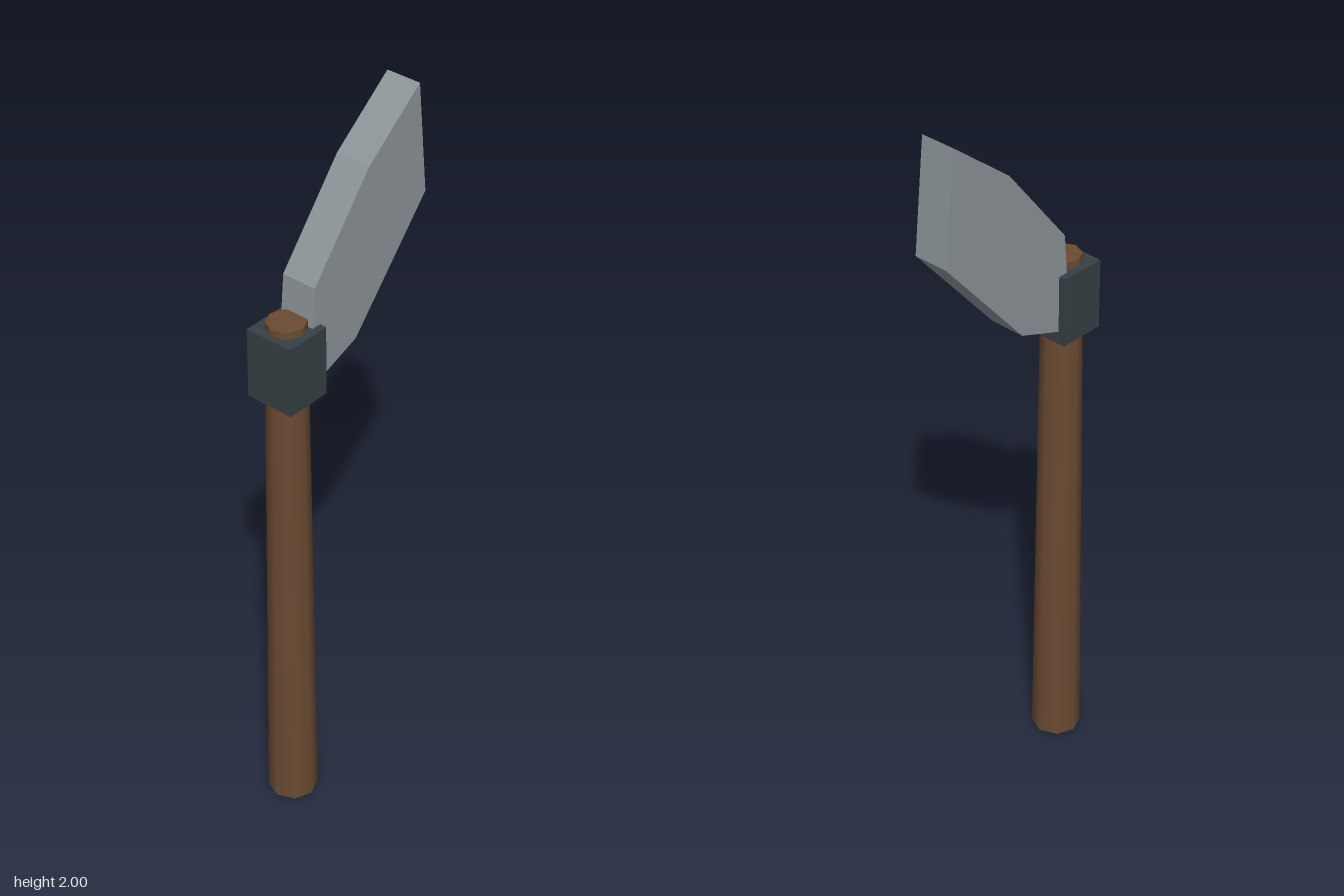
import * as THREE from 'three';

export function createModel() {
  const model = new THREE.Group();
  const poleX = -0.198;

  const add = (name, geometry, color, flatShading) => {
    const mesh = new THREE.Mesh(geometry, new THREE.MeshStandardMaterial({ color, flatShading }));
    mesh.name = name;
    model.add(mesh);
    return mesh;
  };

  // Tapered eight-sided wooden handle
  add('handle', new THREE.CylinderGeometry(0.052, 0.067, 1.52, 8), 0x6b4a32, false)
    .position.set(poleX, 0.76, 0);

  // Square iron collar holding the blade
  add('collar', new THREE.BoxGeometry(0.131, 0.195, 0.138), 0x363f43, true)
    .position.set(poleX, 1.4025, 0);

  // Angled blade, its root running into the collar
  const profile = [
    [-0.175, 1.325], [0.0, 1.39], [0.262, 1.69],
    [0.232, 2.0], [0.047, 1.855], [-0.151, 1.61],
  ].map(([x, y]) => new THREE.Vector2(x, y));
  const blade = new THREE.ExtrudeGeometry(new THREE.Shape(profile), { depth: 0.1, bevelEnabled: false });
  blade.translate(0, 0, -0.05);
  add('blade', blade, 0x8a9296, true);

  return model;
}
